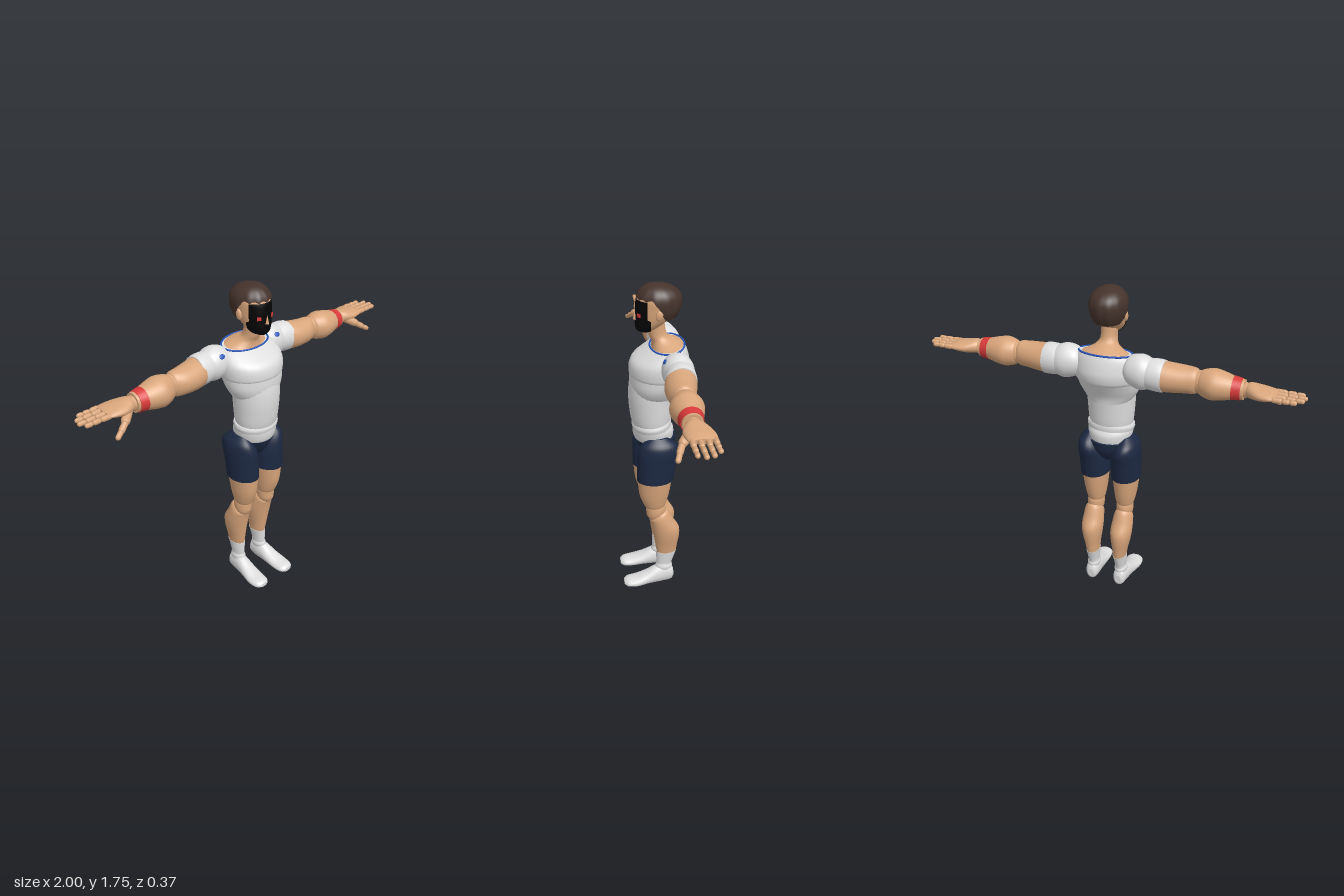
import * as THREE from 'three';
import { ParametricGeometry } from 'three/addons/geometries/ParametricGeometry.js';

const paint = (name, color, side = THREE.FrontSide) => Object.assign(new THREE.MeshStandardMaterial({ color, side }), { name });

// Smooth interpolation through rows of numbers; s runs from 0 to rows.length - 1
function sample(rows, s) {
  const n = rows.length - 1, i = Math.min(Math.floor(s), n - 1), f = s - i;
  const at = (k) => rows[Math.max(0, Math.min(n, k))];
  return rows[0].map((_, k) => {
    const [a, b, c, d] = [at(i - 1)[k], at(i)[k], at(i + 1)[k], at(i + 2)[k]];
    return b + 0.5 * f * (c - a + f * (2 * a - 5 * b + 4 * c - d + f * (3 * (b - c) + d - a)));
  });
}

// Closed solid through ellipses: ring = [along, centreU, centreV, radiusU, radiusV, tilt]
// axis y: u = x, v = z;  axis x: u = y, v = z;  axis z: u = x, v = y
function loft(axis, rings, seg = 28, steps = 4) {
  const rows = rings.map((r) => (r.length < 6 ? [...r, 0] : r));
  const count = (rows.length - 1) * steps, pos = [], idx = [];
  const put = (t, u, v) => pos.push(...(axis === 'y' ? [u, t, v] : axis === 'x' ? [t, u, v] : [u, v, t]));
  const ring = (s) => {
    const [t, cu, cv, ru, rv, tilt] = sample(rows, s);
    for (let j = 0; j < seg; j++) {
      const a = (j / seg) * Math.PI * 2, v = Math.sin(a) * rv;
      put(t + tilt * v, cu + Math.cos(a) * ru, cv + v);
    }
    return [t, cu, cv];
  };
  for (let i = 0; i <= count; i++) ring(i / steps);
  for (let i = 0; i < count; i++) for (let j = 0; j < seg; j++) {
    const a = i * seg + j, b = i * seg + (j + 1) % seg;
    idx.push(a, a + seg, b, b, a + seg, b + seg);
  }
  for (const end of [0, 1]) {
    const base = pos.length / 3;
    put(...ring(end * (rows.length - 1)));
    for (let j = 0; j < seg; j++) {
      const a = base + j, b = base + (j + 1) % seg;
      idx.push(base + seg, ...(end ? [b, a] : [a, b]));
    }
  }
  // Turn faces outward
  let volume = 0;
  const p = (i) => new THREE.Vector3().fromArray(pos, i * 3);
  for (let i = 0; i < idx.length; i += 3) volume += p(idx[i]).dot(p(idx[i + 1]).cross(p(idx[i + 2])));
  if (volume < 0) idx.reverse();
  const g = new THREE.BufferGeometry();
  g.setAttribute('position', new THREE.Float32BufferAttribute(pos, 3));
  g.setIndex(idx);
  g.computeVertexNormals();
  return g;
}

export function createModel() {
  const skin = paint('skin', 0xd9a67c), white = paint('white cloth', 0xdededf), navy = paint('navy cloth', 0x1d2942);
  const hair = paint('brown hair', 0x45332c, THREE.DoubleSide), black = paint('black mask', 0x050505, THREE.DoubleSide);
  const red = paint('red', 0xd83a3a), blue = paint('blue trim', 0x2b58bd);
  const model = new THREE.Group();
  const add = (name, geometry, material, parent = model) => {
    const m = new THREE.Mesh(geometry, material);
    m.name = name;
    parent.add(m);
    return m;
  };

  // Torso
  add('hips', loft('y', [[0.88, 0, -0.005, 0.095, 0.09], [0.92, 0, 0, 0.112, 0.105], [0.96, 0, 0.003, 0.121, 0.108], [0.985, 0, 0.008, 0.122, 0.1]]), white);
  add('waistBand', loft('y', [[0.975, 0, 0.008, 0.124, 0.102, -0.1], [0.995, 0, 0.01, 0.129, 0.104, -0.1], [1.01, 0, 0.01, 0.124, 0.1, -0.1]]), white);
  add('abdomen', loft('y', [[1.0, 0, 0.012, 0.115, 0.1], [1.04, 0, 0.013, 0.121, 0.108], [1.13, 0, 0.014, 0.127, 0.116], [1.2, 0, 0.01, 0.13, 0.118], [1.25, 0, 0.005, 0.13, 0.115]]), white);
  add('ribcage', loft('y', [[1.155, 0, -0.002, 0.118, 0.112], [1.19, 0, -0.002, 0.143, 0.119], [1.235, 0, -0.01, 0.162, 0.133], [1.3, 0, -0.03, 0.168, 0.15]]), white);
  add('chest', loft('y', [[1.278, 0, -0.024, 0.169, 0.146], [1.292, 0, -0.027, 0.175, 0.153], [1.33, 0, -0.032, 0.179, 0.154], [1.365, 0, -0.038, 0.176, 0.142, -0.03],
    [1.4, 0, -0.055, 0.163, 0.113, -0.08], [1.425, 0, -0.07, 0.14, 0.086, -0.11]]), white);
  const neckline = new THREE.CatmullRomCurve3(Array.from({ length: 16 }, (_, i) => {
    const a = i * Math.PI / 8, z = Math.sin(a) * 0.086;
    return new THREE.Vector3(Math.cos(a) * 0.14, 1.425 - 0.11 * z, -0.07 + z);
  }), true);
  add('neckline', new THREE.TubeGeometry(neckline, 64, 0.005, 6, true), blue);
  add('neck', loft('y', [[1.42, 0, -0.07, 0.134, 0.082, -0.11], [1.432, 0, -0.068, 0.105, 0.077, -0.11], [1.455, 0, -0.05, 0.062, 0.06, -0.06],
    [1.485, 0, -0.022, 0.043, 0.046], [1.56, 0, -0.01, 0.042, 0.045]]), skin);
  add('crotch', loft('y', [[0.79, 0, -0.01, 0.02, 0.03], [0.82, 0, -0.012, 0.045, 0.07], [0.87, 0, -0.013, 0.085, 0.1], [0.915, 0, -0.008, 0.114, 0.11, -0.05]]), navy);

  // Head and face
  const headRings = [[1.5, 0, 0.035, 0.015, 0.03], [1.515, 0, 0.034, 0.042, 0.048], [1.54, 0, 0.02, 0.062, 0.067], [1.58, 0, -0.005, 0.077, 0.09],
    [1.63, 0, -0.02, 0.084, 0.105], [1.68, 0, -0.026, 0.084, 0.102], [1.72, 0, -0.03, 0.055, 0.07]];
  add('head', loft('y', headRings, 36, 5), skin);
  add('faceMask', new ParametricGeometry((u, v, out) => {
    const [y, , cz, rx, rz] = sample(headRings, 0.1 + v * 4.7);
    const edge = y < 1.58 ? 0.02 : 0.036;
    const a = Math.acos(THREE.MathUtils.clamp((edge - cz) / rz, -1, 1)) * (u * 2 - 1);
    out.set(Math.sin(a) * (rx + 0.004), y, cz + Math.cos(a) * (rz + 0.004));
  }, 28, 24), black);
  add('nose', new THREE.ConeGeometry(0.012, 0.045, 4), skin).position.set(0, 1.588, 0.09);
  for (const s of [-1, 1]) {
    const eye = add(s > 0 ? 'leftEye' : 'rightEye', new THREE.BoxGeometry(0.021, 0.016, 0.008), red);
    eye.position.set(s * 0.042, 1.597, 0.077);
    eye.rotation.y = s * 0.5;
    const ear = add(s > 0 ? 'leftEar' : 'rightEar', new THREE.SphereGeometry(1, 14, 10), skin);
    ear.scale.set(0.011, 0.028, 0.018);
    ear.position.set(s * 0.086, 1.606, -0.018);
    ear.rotation.x = -0.2;
  }

  // Hair cap: low at the nape, high with a jagged fringe over the face
  add('hair', new ParametricGeometry((u, v, out) => {
    const a = u * Math.PI * 2, c = Math.cos(a), front = THREE.MathUtils.smoothstep(c, -0.35, 0.4);
    const hem = 1.565 + 0.105 * front + 0.01 * front * Math.abs(Math.sin(a * 7));
    const lift = Math.sin(v * Math.PI / 2);
    const y = 1.745 - (1.745 - hem) * (1 - Math.sqrt(1 - lift * lift * 0.999));
    const h = (y - 1.655) / 0.09;
    const r = h > 0 ? Math.pow(Math.max(0, 1 - Math.pow(Math.min(h, 1), 2.3)), 0.5) : 1 - 0.3 * h * h;
    const lock = 1 + 0.015 * Math.sin(a * 11) * v;
    out.set(Math.sin(a) * 0.096 * r * lock, y, -0.027 + 0.02 * Math.max(0, h) * (1 - r) + c * 0.115 * r * lock);
  }, 84, 24), hair);

  // Tapered finger bone between two points
  const bone = (name, a, b, r, parent) => {
    const d = b.clone().sub(a), m = add(name, new THREE.CapsuleGeometry(r, d.length(), 4, 10), skin, parent);
    m.position.copy(a).addScaledVector(d, 0.5);
    m.quaternion.setFromUnitVectors(new THREE.Vector3(0, 1, 0), d.normalize());
  };

  for (const s of [-1, 1]) {
    const sideName = s > 0 ? 'left' : 'right';
    const arm = new THREE.Group(), leg = new THREE.Group();
    arm.name = sideName + 'Arm';
    leg.name = sideName + 'Leg';
    model.add(arm, leg);
    const alongX = (name, rings, m) => add(name, loft('x', rings.map(([x, ...r]) => [s * x, ...r])), m, arm);
    const alongY = (name, rings, m) => add(name, loft('y', rings.map(([y, x, ...r]) => [y, s * x, ...r])), m, leg);

    // Arm
    alongX('shoulder', [[0.115, 1.365, -0.09, 0.045, 0.05], [0.14, 1.362, -0.09, 0.073, 0.07], [0.18, 1.36, -0.092, 0.088, 0.079], [0.215, 1.358, -0.093, 0.088, 0.079], [0.25, 1.356, -0.092, 0.075, 0.07]], white);
    alongX('sleeve', [[0.2, 1.355, -0.092, 0.07, 0.068], [0.25, 1.356, -0.092, 0.079, 0.076], [0.29, 1.354, -0.09, 0.082, 0.078], [0.315, 1.352, -0.087, 0.079, 0.078]], white);
    alongX('upperArm', [[0.3, 1.352, -0.087, 0.076, 0.077], [0.35, 1.348, -0.078, 0.073, 0.079], [0.42, 1.347, -0.07, 0.068, 0.07], [0.465, 1.347, -0.072, 0.066, 0.055], [0.48, 1.347, -0.072, 0.055, 0.045]], skin);
    alongX('elbow', [[0.455, 1.346, -0.072, 0.04, 0.038], [0.475, 1.346, -0.072, 0.056, 0.048], [0.505, 1.346, -0.072, 0.056, 0.05], [0.525, 1.346, -0.07, 0.04, 0.04]], skin);
    alongX('forearm', [[0.488, 1.345, -0.07, 0.05, 0.048], [0.5, 1.344, -0.069, 0.065, 0.06], [0.55, 1.343, -0.067, 0.077, 0.08], [0.6, 1.342, -0.066, 0.07, 0.074], [0.66, 1.341, -0.066, 0.055, 0.055], [0.705, 1.34, -0.066, 0.049, 0.048]], skin);
    alongX('wristband', [[0.65, 1.341, -0.066, 0.059, 0.06], [0.67, 1.341, -0.066, 0.056, 0.056], [0.692, 1.34, -0.066, 0.053, 0.053]], red);
    alongX('wrist', [[0.69, 1.34, -0.066, 0.035, 0.035], [0.715, 1.34, -0.066, 0.037, 0.038], [0.73, 1.34, -0.066, 0.03, 0.04]], skin);
    alongX('palm', [[0.71, 1.342, -0.066, 0.03, 0.032], [0.735, 1.344, -0.067, 0.036, 0.05], [0.78, 1.342, -0.073, 0.031, 0.068], [0.83, 1.343, -0.079, 0.023, 0.068], [0.862, 1.344, -0.08, 0.012, 0.06]], skin);
    [[-0.132, 0.962], [-0.1, 0.992], [-0.066, 1.0], [-0.032, 0.984]].forEach(([z, tip], f) => {
      const r = 0.0135, length = tip - 0.845;
      for (let k = 0; k < 3; k++) {
        const x0 = 0.845 + length * [0, 0.42, 0.72][k], x1 = 0.845 + length * [0.42, 0.72, 1][k];
        const rr = r - k * 0.001;
        bone(`finger${f + 1}Bone${k + 1}`, new THREE.Vector3(s * (x0 + rr * 0.7), 1.343, z), new THREE.Vector3(s * (x1 - rr), 1.343, z), rr, arm);
      }
    });
    [[0.75, 1.328, -0.04, 0.79, 1.305, -0.008, 0.022], [0.795, 1.3, -0.003, 0.828, 1.28, 0.013, 0.016], [0.836, 1.274, 0.016, 0.86, 1.26, 0.026, 0.013]].forEach((t, k) =>
      bone(`thumbBone${k + 1}`, new THREE.Vector3(s * t[0], t[1], t[2]), new THREE.Vector3(s * t[3], t[4], t[5]), t[6], arm));
    // Blue patch on the front of the shoulder
    const patch = add('shoulderPatch', new THREE.SphereGeometry(1, 12, 8), blue, arm);
    patch.scale.set(0.017, 0.013, 0.0045);
    patch.position.set(s * 0.19, 1.412, -0.028);
    patch.rotation.x = -0.6;

    // Leg
    alongY('shortsLeg', [[0.69, 0.089, 0.003, 0.078, 0.098], [0.8, 0.09, -0.006, 0.079, 0.106], [0.865, 0.097, -0.015, 0.071, 0.111], [0.91, 0.105, -0.015, 0.053, 0.092], [0.945, 0.102, -0.01, 0.022, 0.045]], navy);
    alongY('thigh', [[0.515, 0.085, 0.004, 0.044, 0.052], [0.535, 0.085, 0.005, 0.051, 0.062], [0.6, 0.087, 0.008, 0.062, 0.081], [0.7, 0.088, 0.005, 0.073, 0.093]], skin);
    alongY('knee', [[0.435, 0.087, 0.0, 0.032, 0.036], [0.46, 0.086, 0.0, 0.043, 0.049], [0.49, 0.086, -0.002, 0.046, 0.054], [0.52, 0.085, 0, 0.043, 0.052], [0.545, 0.085, 0, 0.03, 0.035]], skin);
    alongY('calf', [[0.2, 0.081, -0.062, 0.036, 0.055], [0.25, 0.083, -0.062, 0.042, 0.062], [0.31, 0.085, -0.062, 0.053, 0.071], [0.365, 0.086, -0.056, 0.059, 0.075], [0.42, 0.087, -0.035, 0.056, 0.065], [0.455, 0.087, -0.02, 0.05, 0.054, -0.4], [0.47, 0.087, -0.018, 0.04, 0.042, -0.5]], skin);
    alongY('sock', [[0.1, 0.083, -0.05, 0.031, 0.042], [0.125, 0.082, -0.05, 0.03, 0.044], [0.16, 0.082, -0.055, 0.033, 0.05], [0.203, 0.081, -0.062, 0.038, 0.057]], white);
    alongY('ankle', [[0.07, 0.084, -0.048, 0.03, 0.04], [0.1, 0.083, -0.048, 0.036, 0.048], [0.122, 0.083, -0.048, 0.028, 0.04]], white);
    // Foot, pressed flat underneath
    const foot = loft('z', [[-0.102, 0.084, 0.045, 0.018, 0.025], [-0.088, 0.084, 0.05, 0.033, 0.05], [-0.045, 0.085, 0.052, 0.039, 0.06], [0, 0.088, 0.046, 0.042, 0.055],
      [0.05, 0.092, 0.033, 0.047, 0.04], [0.11, 0.097, 0.02, 0.051, 0.029], [0.16, 0.097, 0.017, 0.045, 0.023], [0.182, 0.096, 0.016, 0.025, 0.012]].map(([z, x, ...r]) => [z, s * x, ...r]));
    const p = foot.attributes.position;
    for (let i = 0; i < p.count; i++) p.setY(i, Math.max(0, p.getY(i)));
    foot.computeVertexNormals();
    add('foot', foot, white, leg);
  }
  return model;
}
